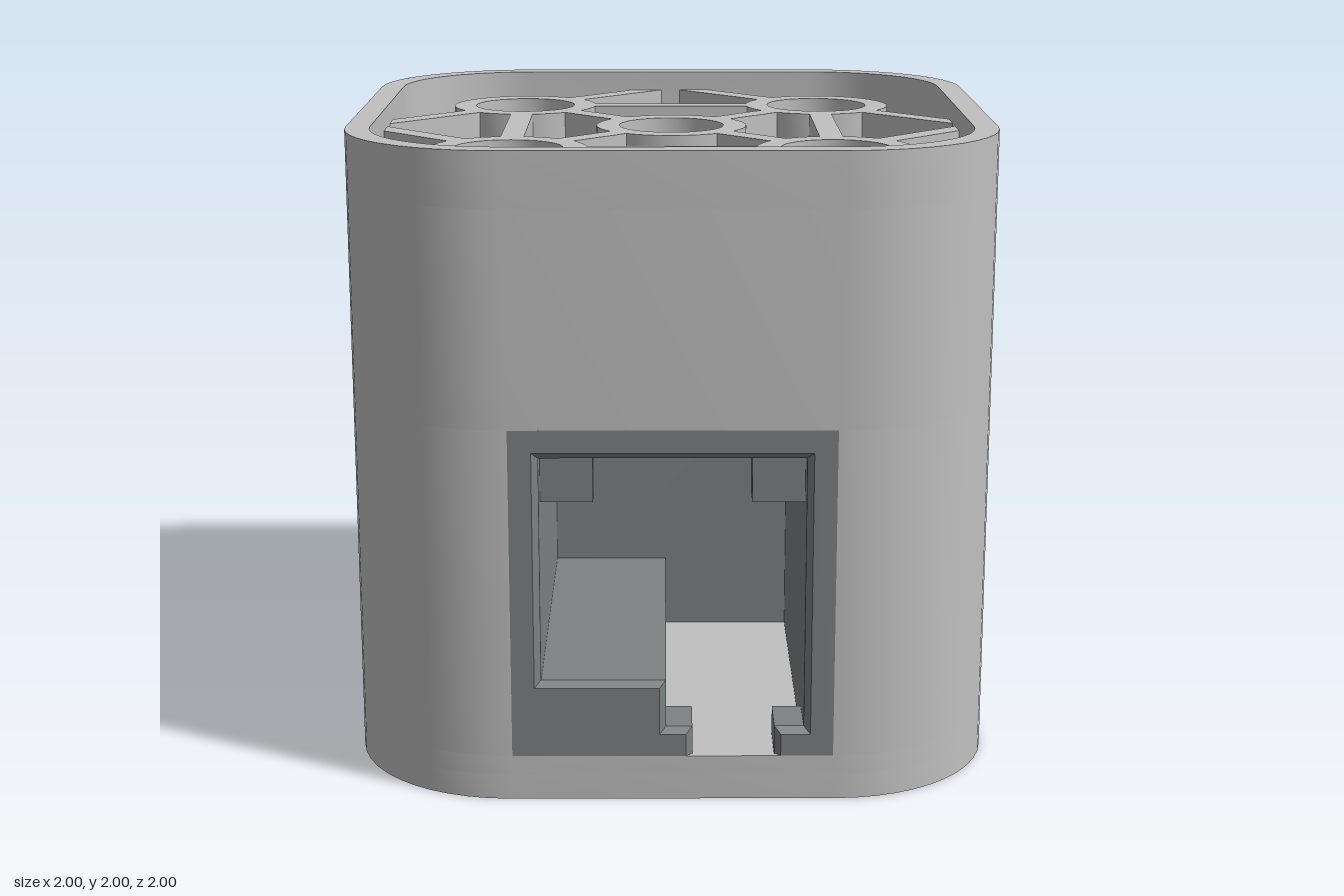
import * as THREE from 'three';
import { toCreasedNormals } from 'three/addons/utils/BufferGeometryUtils.js';

export function createModel() {
  const model = new THREE.Group();
  const shellGrey = new THREE.MeshStandardMaterial({ color: 0xc0c0c0 });
  shellGrey.name = 'shellGrey';
  const jackGrey = new THREE.MeshStandardMaterial({ color: 0x7d8282 });
  jackGrey.name = 'jackGrey';

  function add(name, geometry, material, parent = model) {
    const mesh = new THREE.Mesh(geometry, material);
    mesh.name = name;
    parent.add(mesh);
    return mesh;
  }
  function box(name, x0, x1, y0, y1, z0, z1, material, parent) {
    const mesh = add(name, new THREE.BoxGeometry(x1 - x0, y1 - y0, z1 - z0), material, parent);
    mesh.position.set((x0 + x1) / 2, (y0 + y1) / 2, (z0 + z1) / 2);
    return mesh;
  }
  const polygon = (points) => new THREE.Shape(points.map(([x, y]) => new THREE.Vector2(x, y)));
  const circle = (x, y, r) => new THREE.Path().absarc(x, y, r, 0, Math.PI * 2, true);

  // Rounded square outline, counter-clockwise; plan y equals -z
  function roundedSquare(inset) {
    const r = 0.5 - inset, points = [];
    for (let c = 0; c < 4; c++) {
      const cx = c === 0 || c === 3 ? 0.5 : -0.5, cy = c < 2 ? 0.5 : -0.5;
      for (let i = 0; i <= 12; i++) {
        const a = (c + i / 12) * Math.PI / 2;
        points.push(new THREE.Vector2(cx + r * Math.cos(a), cy + r * Math.sin(a)));
      }
    }
    return points;
  }
  // Plan shape raised from y0 to y1
  function layer(name, shape, y0, y1, parent) {
    let g = new THREE.ExtrudeGeometry(shape, { depth: y1 - y0, bevelEnabled: false, curveSegments: 24 });
    g = toCreasedNormals(g.rotateX(-Math.PI / 2).translate(0, y0, 0), 0.5);
    return add(name, g, shellGrey, parent);
  }

  const bosses = [[0, 0], [0.505, 0.505], [-0.505, 0.505], [-0.505, -0.505], [0.505, -0.505]];

  // Shell: base, walls around the jack pocket, deck with holes, upper rim
  layer('baseSlab', new THREE.Shape(roundedSquare(0)), 0.08, 0.14);

  const walls = roundedSquare(0);
  const pocket = [[-0.49, -1], [-0.49, 0.6], [0.49, 0.6], [0.49, -1]];
  // The outline passes the front edge between the third and fourth corners
  walls.splice(39, 0, ...pocket.map(([x, y]) => new THREE.Vector2(x, y)));
  layer('sideWalls', new THREE.Shape(walls), 0.14, 1.17);

  const deck = new THREE.Shape(roundedSquare(0));
  for (const [x, y] of bosses) deck.holes.push(circle(x, y, 0.17));
  layer('deck', deck, 1.17, 1.83);

  const rim = new THREE.Shape(roundedSquare(0));
  rim.holes.push(new THREE.Path(roundedSquare(0.075)));
  layer('rim', rim, 1.83, 2);

  // Underside: lofted outer edge, flat border and shallow dish
  const loops = [[0, 0.08], [0, 0], [0.16, 0], [0.27, 0.04]];
  const positions = [];
  for (let k = 0; k < loops.length - 1; k++) {
    const [i0, y0] = loops[k], [i1, y1] = loops[k + 1];
    const a = roundedSquare(i0), b = roundedSquare(i1);
    for (let i = 0; i < a.length; i++) {
      const j = (i + 1) % a.length;
      const [p, q, r, s] = [[a[i], y0], [a[j], y0], [b[j], y1], [b[i], y1]]
        .map(([v, y]) => [v.x, y, -v.y]);
      positions.push(...p, ...s, ...r, ...p, ...r, ...q);
    }
  }
  const dish = new THREE.BufferGeometry();
  dish.setAttribute('position', new THREE.Float32BufferAttribute(positions, 3));
  dish.computeVertexNormals();
  add('underside', toCreasedNormals(dish, 0.5), shellGrey);

  // Tabbed cover plate set into the underside with a narrow groove
  function tabbedSquare(h, t, d) {
    return [[-h, -h], [-t, -h], [-t, -h - d], [t, -h - d], [t, -h], [h, -h],
      [h, h], [t, h], [t, h + d], [-t, h + d], [-t, h], [-h, h]];
  }
  const border = new THREE.Shape(roundedSquare(0.27));
  border.holes.push(polygon(tabbedSquare(0.53, 0.22, 0.02)));
  layer('coverBorder', border, 0.04, 0.08);
  layer('coverPlate', polygon(tabbedSquare(0.516, 0.206, 0.02)), 0.04, 0.08);

  // Bosses and ribs inside the top recess
  const ribs = new THREE.Group();
  ribs.name = 'topRibs';
  model.add(ribs);
  const low = 1.83, high = 1.935, half = 0.037;
  for (const [x, y] of bosses) {
    const ring = new THREE.Shape().absarc(x, y, 0.245, 0, Math.PI * 2, false);
    ring.holes.push(circle(x, y, 0.17));
    layer('boss', ring, low, high, ribs);
  }
  for (let q = 0; q < 4; q++) {
    const quarter = new THREE.Group();
    quarter.name = 'ribQuarter';
    quarter.rotation.y = q * Math.PI / 2;
    ribs.add(quarter);
    box('straightRib', -0.28, 0.28, low, high, 0.505 - half, 0.505 + half, shellGrey, quarter);
    const diagonal = new THREE.Group();
    diagonal.name = 'diagonalRibs';
    diagonal.rotation.y = Math.PI / 4;
    quarter.add(diagonal);
    const c = 0.505 * Math.SQRT2;
    box('centreRib', 0.22, c - 0.22, low, high, -half, half, shellGrey, diagonal);
    for (const s of [-1, 1]) {
      const rib = box('wallRib', c - half, c + half, low, high, 0.22, 0.63, shellGrey, diagonal);
      rib.position.z *= s;
    }
  }

  // Socket: chamfered front frame with a stepped opening
  const jack = new THREE.Group();
  jack.name = 'socket';
  model.add(jack);
  const frame = polygon([[0.33, 0.14], [0.49, 0.14], [0.49, 1.17], [-0.49, 1.17], [-0.49, 0.14],
    [0.04, 0.14], [0.04, 0.21], [-0.04, 0.21], [-0.04, 0.36], [-0.42, 0.36],
    [-0.42, 1.1], [0.42, 1.1], [0.42, 0.21], [0.33, 0.21]]);
  add('socketFrame', new THREE.ExtrudeGeometry(frame, {
    depth: 0.16, bevelEnabled: true, bevelSize: 0.02, bevelThickness: 0.02, bevelSegments: 1,
  }).translate(0, 0, 0.82), jackGrey, jack);

  // Socket housing behind the frame
  const housing = polygon([[-0.49, 0.14], [-0.02, 0.14], [-0.02, 0.38], [-0.4, 0.38], [-0.4, 1.08],
    [0.4, 1.08], [0.4, 0.14], [0.49, 0.14], [0.49, 1.17], [-0.49, 1.17]]);
  add('socketHousing', new THREE.ExtrudeGeometry(housing, { depth: 1.1, bevelEnabled: false })
    .translate(0, 0, -0.28), jackGrey, jack);
  box('socketBack', -0.49, 0.49, 0.14, 1.17, -0.3, -0.2, jackGrey, jack);
  box('socketBeam', -0.4, 0.4, 0.92, 1.08, -0.2, 0, jackGrey, jack);
  for (const s of [-1, 1]) {
    const stop = box('socketStop', 0.24, 0.4, 0.92, 1.08, 0.78, 0.9, jackGrey, jack);
    stop.position.x *= s;
  }
  return model;
}
